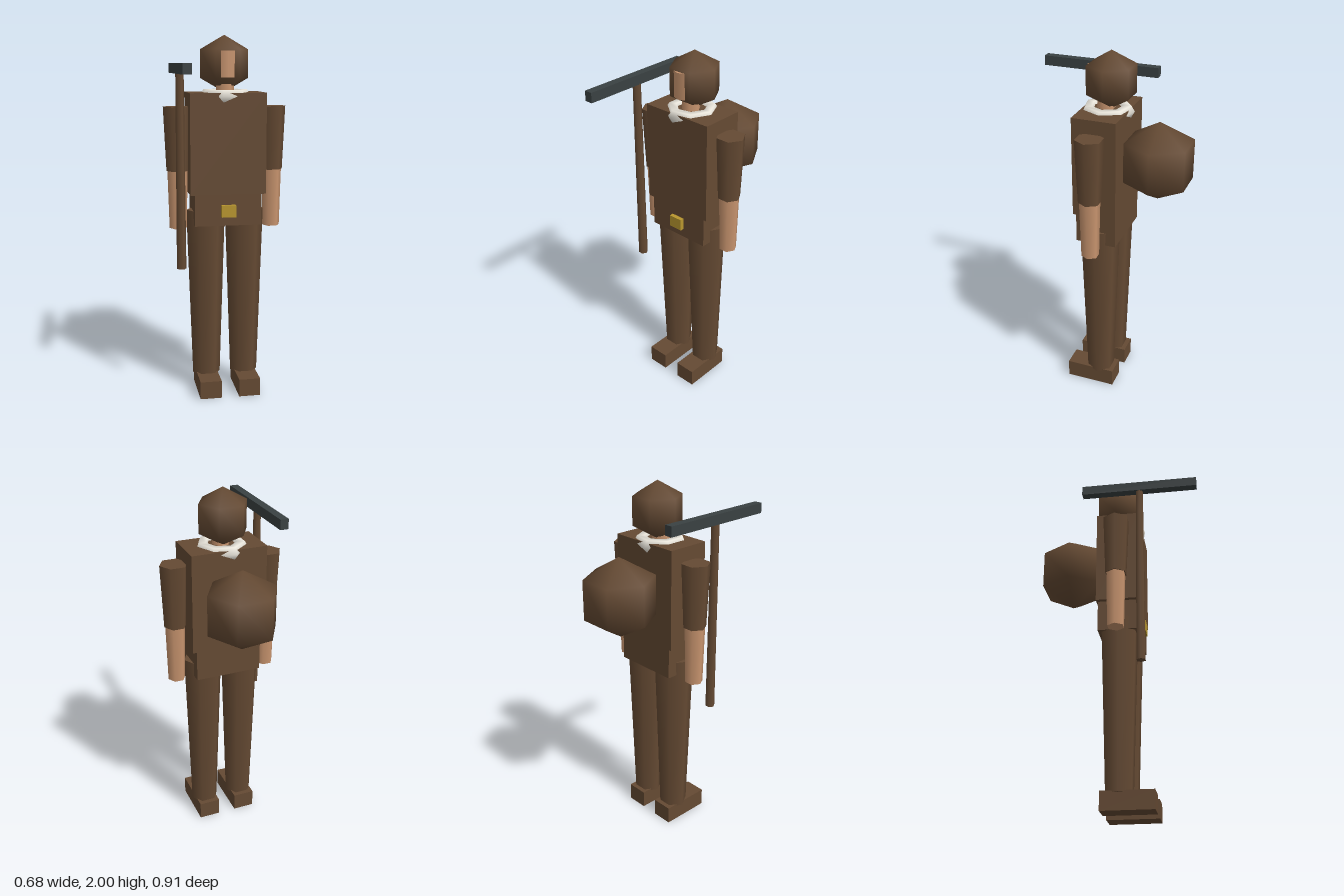
import * as THREE from 'three';

export function createModel() {
  const model = new THREE.Group();
  model.name = 'traveller';
  const Z = -0.006; // body centre line

  const mat = (name, color) => {
    const m = new THREE.MeshStandardMaterial({ color });
    m.name = name;
    return m;
  };
  const brown = mat('brown', 0x654a33);
  const skin = mat('skin', 0xc9956f);
  const cream = mat('cream', 0xe8e4da);
  const gold = mat('gold', 0xb8962e);
  const iron = mat('iron', 0x3a4142);

  const add = (name, geometry, material, x, y, z) => {
    const mesh = new THREE.Mesh(geometry, material);
    mesh.name = name;
    mesh.position.set(x, y, z);
    model.add(mesh);
    return mesh;
  };
  // box given by its size, bottom height and centre
  const box = (name, w, h, d, material, x, y0, z) =>
    add(name, new THREE.BoxGeometry(w, h, d), material, x, y0 + h / 2, z);
  // six-sided tapered limb with corners pointing sideways
  const limb = (name, rTop, rBottom, y0, y1, material, x, z) =>
    add(name, new THREE.CylinderGeometry(rTop, rBottom, y1 - y0, 6, 1, false, Math.PI / 6),
      material, x, (y0 + y1) / 2, z);

  // legs, feet and arms
  for (const [side, s] of [['left', 1], ['right', -1]]) {
    box(side + 'Foot', 0.12, 0.1, 0.28, brown, s * 0.11, 0, 0.04);
    limb(side + 'Leg', 0.109, 0.078, 0.09, 1.05, brown, s * 0.109, Z);
    limb(side + 'UpperArm', 0.077, 0.062, 1.27, 1.62, brown, s * 0.263, Z);
    limb(side + 'Forearm', 0.056, 0.048, 0.95, 1.27, skin, s * 0.264, Z);
  }

  // body
  box('hips', 0.368, 0.176, 0.224, brown, 0, 0.975, Z);
  box('torso', 0.416, 0.547, 0.24, brown, 0, 1.148, Z);
  box('buckle', 0.08, 0.066, 0.04, gold, 0, 1.025, 0.109);

  // scarf ring around the neck
  const scarf = new THREE.TorusGeometry(0.104, 0.038, 6, 7);
  scarf.rotateX(Math.PI / 2);
  add('scarf', scarf, cream, 0, 1.677, Z);

  // head, with the face showing in front of the hood
  limb('neck', 0.047, 0.05, 1.66, 1.79, skin, 0, 0);
  add('face', new THREE.CylinderGeometry(0.103, 0.103, 0.14, 8), skin, 0, 1.845, 0);
  add('hood', new THREE.SphereGeometry(0.153, 6, 3), brown, 0, 1.847, -0.027);

  // round pack on the back
  add('backpack', new THREE.SphereGeometry(0.219, 6, 3), brown, 0, 1.434, -0.292);

  // long-handled pick at the right hand
  limb('pickHandle', 0.022, 0.026, 0.75, 1.81, brown, -0.263, 0.128);
  box('pickHead', 0.045, 0.054, 0.656, iron, -0.264, 1.797, 0.127);

  return model;
}
